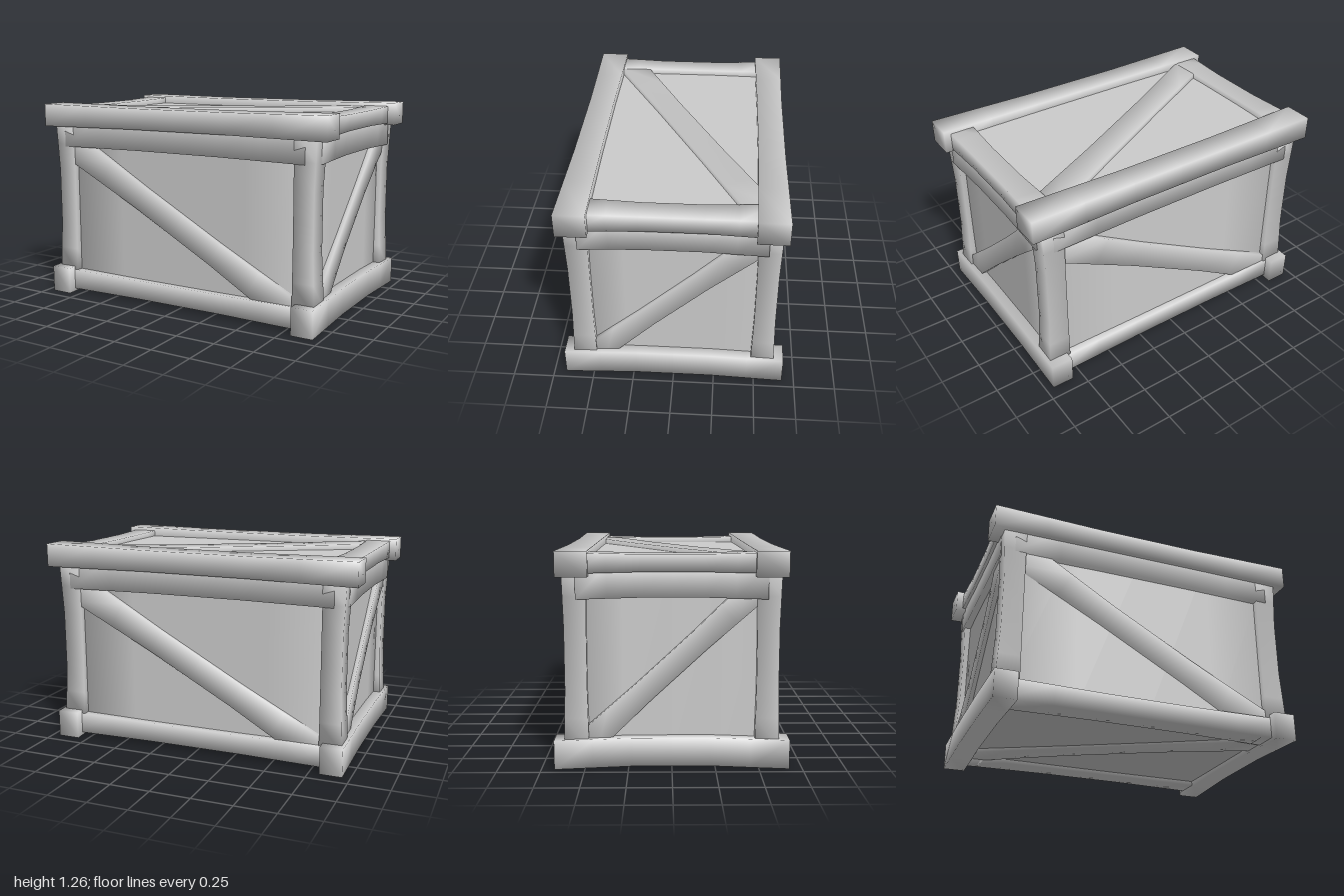
import * as THREE from 'three';
import { mergeVertices } from 'three/addons/utils/BufferGeometryUtils.js';

const material = new THREE.MeshStandardMaterial({ color: 0xcccccc });

// Soft-shaded timber from a to b. "out" is the direction its depth faces;
// pinch narrows the middle and bow shifts the middle along "out".
function beam(name, a, b, out, width, depth, pinch = 0.1, bow = 0) {
  const start = new THREE.Vector3(...a), end = new THREE.Vector3(...b);
  const along = end.clone().sub(start);
  const length = along.length();
  along.normalize();
  const z = new THREE.Vector3(...out);
  const y = z.clone().cross(along).normalize();

  let geo = new THREE.BoxGeometry(length, width, depth, 6, 1, 1);
  geo.deleteAttribute('normal');
  geo.deleteAttribute('uv');
  geo = mergeVertices(geo);
  const p = geo.attributes.position;
  for (let i = 0; i < p.count; i++) {
    const t = Math.abs(p.getX(i)) / (length / 2);
    const middle = Math.min(1, (1 - t) * 1.5);
    p.setY(i, p.getY(i) * (1 - pinch * middle));
    p.setZ(i, p.getZ(i) * (1 - pinch * middle) + bow * middle);
  }
  geo.computeVertexNormals();
  geo.applyMatrix4(new THREE.Matrix4().makeBasis(along, y, z)
    .setPosition(start.add(end).multiplyScalar(0.5)));
  const mesh = new THREE.Mesh(geo, material);
  mesh.name = name;
  return mesh;
}

// Plank box: walls shade smoothly round the corners, lid and floor stay flat
function panels() {
  const w = 0.885, d = 0.572, bottom = 0.05, top = 1.2;
  const geo = new THREE.BoxGeometry(w * 2, top - bottom, d * 2, 4, 1, 4);
  const p = geo.attributes.position, n = geo.attributes.normal;
  for (let i = 0; i < p.count; i++) {
    const corner = Math.abs(p.getX(i)) > w - 0.01 && Math.abs(p.getZ(i)) > d - 0.01;
    if (corner && Math.abs(n.getY(i)) < 0.5) {
      n.setXYZ(i, Math.sign(p.getX(i)) * Math.SQRT1_2, 0, Math.sign(p.getZ(i)) * Math.SQRT1_2);
    }
  }
  geo.translate(0, (top + bottom) / 2, 0);
  const mesh = new THREE.Mesh(geo, material);
  mesh.name = 'panels';
  return mesh;
}

export function createModel() {
  const crate = new THREE.Group();
  crate.name = 'crate';
  const up = [0, 1, 0], down = [0, -1, 0];
  crate.add(panels());

  for (const s of [1, -1]) {
    const side = s > 0 ? 'front' : 'back', flank = s > 0 ? 'left' : 'right';
    const zOut = [0, 0, s], xOut = [s, 0, 0];

    // Long beams on top and cross beams underneath, overhanging the corners
    crate.add(beam(side + 'TopBeam', [-1, 1.182, s * 0.555], [1, 1.19, s * 0.555], up, 0.18, 0.145, 0.1));
    crate.add(beam(flank + 'BottomBeam', [s * 0.883, 0.085, -0.675], [s * 0.883, 0.085, 0.675], up, 0.138, 0.17, 0.02, 0.017));

    // Beams filling in between them
    crate.add(beam(flank + 'TopBeam', [s * 0.878, 1.184, -0.55], [s * 0.878, 1.184, 0.55], up, 0.16, 0.115, 0.14));
    crate.add(beam(side + 'BottomBeam', [-0.88, 0.086, s * 0.545], [0.88, 0.086, s * 0.545], up, 0.15, 0.132, 0.08));

    // Rails just below the top, their upper halves tucked behind the top beams
    crate.add(beam(side + 'Rail', [-0.86, 1.08, s * 0.545], [0.86, 1.08, s * 0.545], zOut, 0.2, 0.14, 0.06));
    crate.add(beam(flank + 'Rail', [s * 0.865, 1.08, -0.54], [s * 0.865, 1.08, 0.54], xOut, 0.2, 0.14, 0.1));

    // Corner posts, flaring outwards at both ends
    for (const x of [-1, 1]) {
      crate.add(beam(side + (x > 0 ? 'Left' : 'Right') + 'Post',
        [x * 0.863, 0.12, s * 0.546], [x * 0.863, 1.17, s * 0.546], [x, 0, 0], 0.142, 0.142, 0.11, -0.009));
    }

    // Diagonal braces on the four walls
    crate.add(beam(side + 'Brace', [s * -0.8, 0.975, s * 0.54], [s * 0.79, 0.097, s * 0.54], zOut, 0.187, 0.13, 0.15));
    crate.add(beam(flank + 'Brace', [s * 0.855, 0.15, s * 0.48], [s * 0.855, 1.04, s * -0.48], xOut, 0.152, 0.13, 0.15));
  }

  // Diagonal braces on lid and floor
  crate.add(beam('lidBrace', [-0.86, 1.175, 0.41], [0.86, 1.175, -0.51], up, 0.18, 0.12, 0.1));
  crate.add(beam('floorBrace', [0.85, 0.09, 0.45], [-0.85, 0.09, -0.45], down, 0.17, 0.13, 0.13));
  return crate;
}
